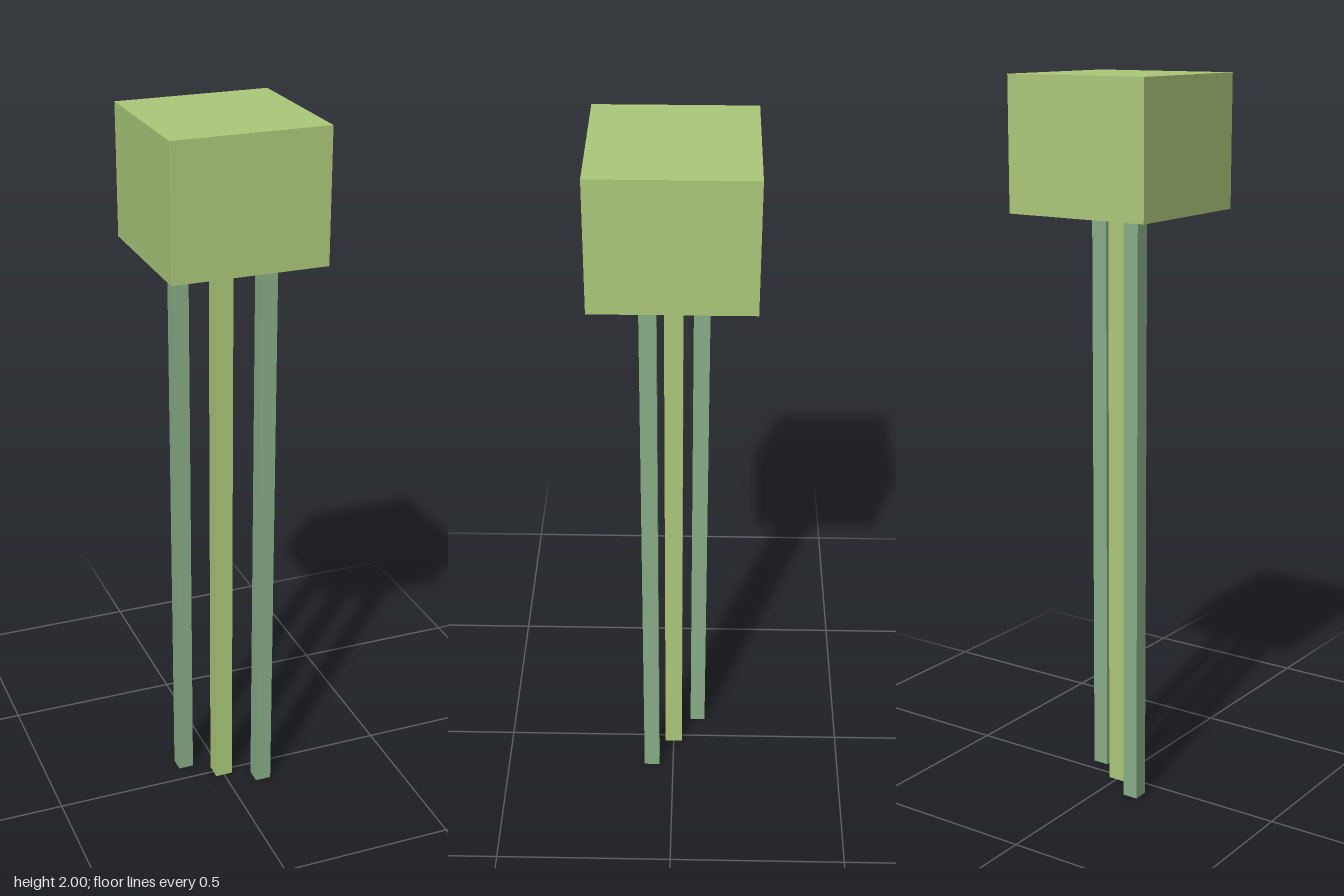
import * as THREE from 'three';

export function createModel() {
  const group = new THREE.Group();
  const lightGreen = new THREE.MeshStandardMaterial({ color: 0xadc97a });
  lightGreen.name = 'light green';
  const greyGreen = new THREE.MeshStandardMaterial({ color: 0x88ae88 });
  greyGreen.name = 'grey green';

  // Box with its base at height y
  function addBox(name, material, [w, h, d], [x, y, z]) {
    const mesh = new THREE.Mesh(new THREE.BoxGeometry(w, h, d), material);
    mesh.name = name;
    mesh.position.set(x, y + h / 2, z);
    group.add(mesh);
  }

  const headBase = 1.64;

  // Block on top
  addBox('head', lightGreen, [0.424, 2 - headBase, 0.424], [0, headBase, 0]);

  // Three slender stems on a diagonal line
  addBox('middleStem', lightGreen, [0.05, headBase, 0.05], [0, 0, 0]);
  addBox('frontStem', greyGreen, [0.046, headBase, 0.045], [0.102, 0, 0.064]);
  addBox('backStem', greyGreen, [0.044, headBase, 0.044], [-0.094, 0, -0.073]);

  return group;
}
